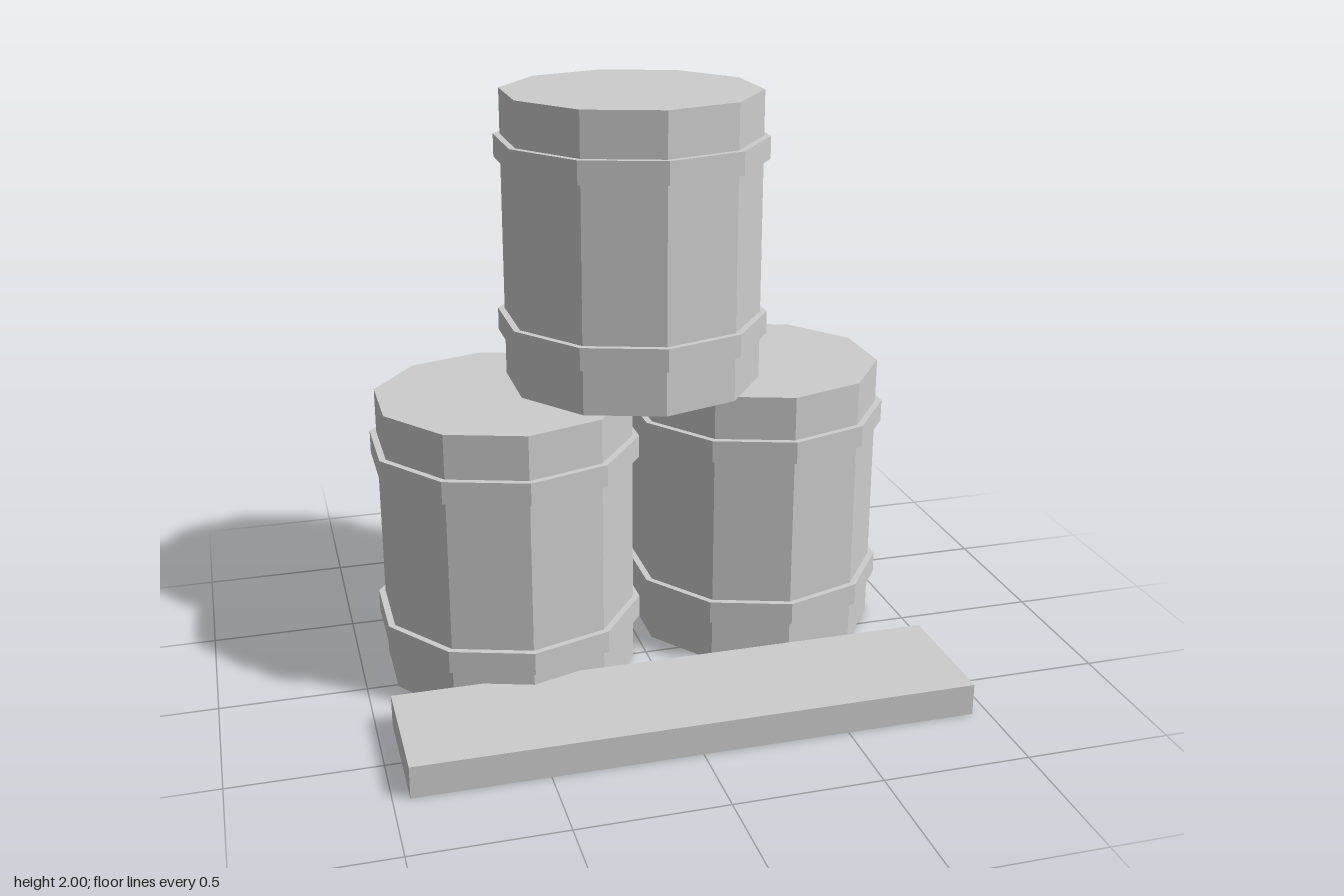
import * as THREE from 'three';

const SIDES = 10;

export function createModel() {
  const model = new THREE.Group();
  model.name = 'barrelStack';

  const grey = new THREE.MeshStandardMaterial({ color: 0xcccccc });
  grey.name = 'plain grey';
  grey.flatShading = true;

  const bodyGeometry = new THREE.CylinderGeometry(0.443, 0.443, 1, SIDES);
  const hoopGeometry = new THREE.CylinderGeometry(0.466, 0.466, 0.078, SIDES);

  function addPart(parent, name, geometry, x, y, z) {
    const mesh = new THREE.Mesh(geometry, grey);
    mesh.name = name;
    mesh.position.set(x, y, z);
    parent.add(mesh);
  }

  // A ten-sided barrel with two hoops, standing on its group's origin
  function addBarrel(name, x, y, z) {
    const barrel = new THREE.Group();
    barrel.name = name;
    barrel.position.set(x, y, z);
    addPart(barrel, 'barrelBody', bodyGeometry, 0, 0.5, 0);
    addPart(barrel, 'lowerHoop', hoopGeometry, 0, 0.199, 0);
    addPart(barrel, 'upperHoop', hoopGeometry, 0, 0.808, 0);
    model.add(barrel);
  }

  // Two barrels on the ground and one stacked across them
  addBarrel('rightBarrel', -0.472, 0, -0.127);
  addBarrel('leftBarrel', 0.472, 0, -0.241);
  addBarrel('topBarrel', 0, 1, -0.183);

  // Plank lying in front
  addPart(model, 'plank', new THREE.BoxGeometry(1.89, 0.11, 0.445), 0, 0.055, 0.4845);

  return model;
}
